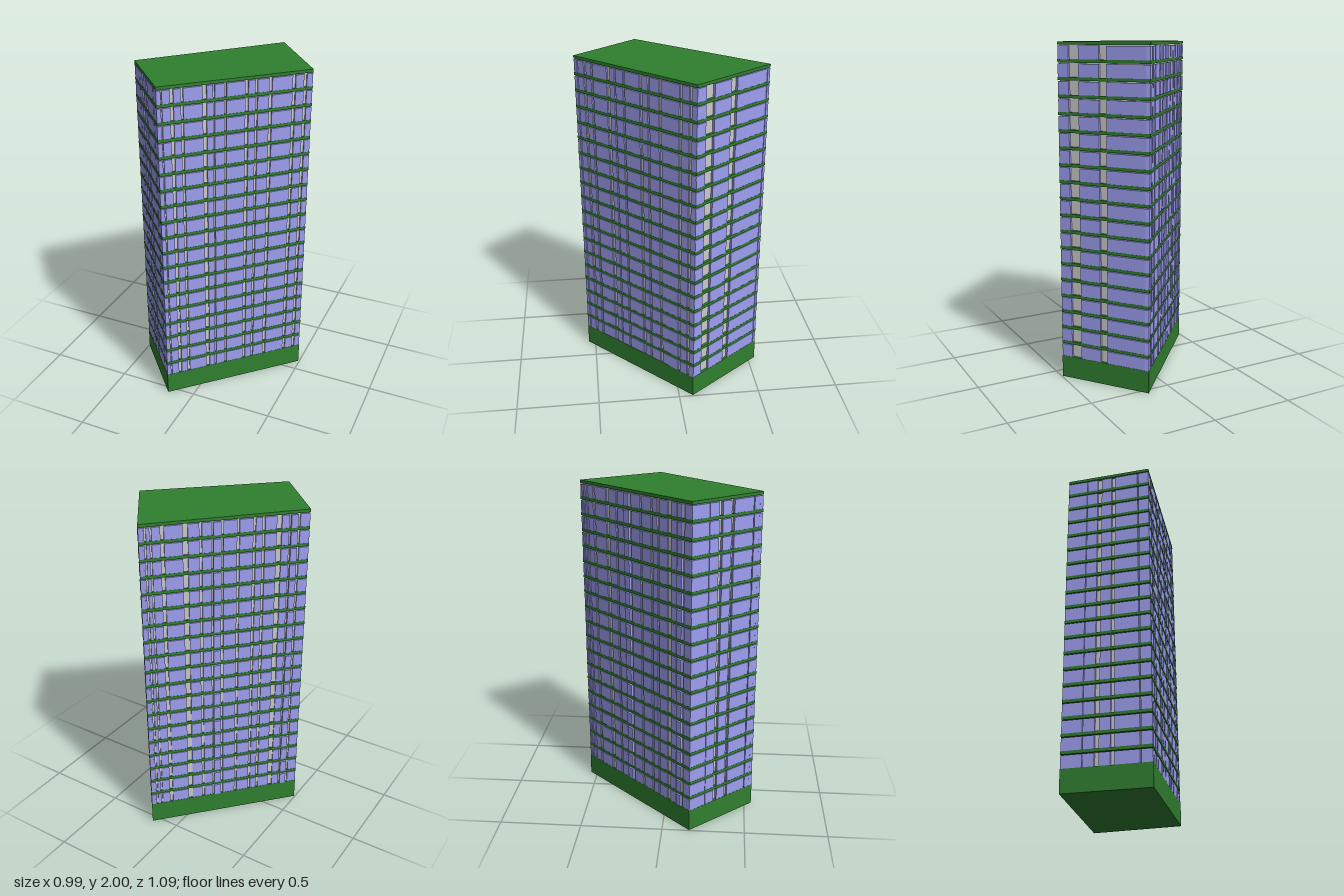
import * as THREE from 'three';
import { mergeGeometries } from 'three/addons/utils/BufferGeometryUtils.js';

// Footprint corners [x, z], going round the tower
const CORNERS = [[-0.495, 0.165], [-0.155, 0.545], [0.493, -0.085], [0.153, -0.545]];
const BASE_TOP = 0.135, FLOORS = 19, STEP = 0.0982, SLAB = 0.018;

// Recessed wall strips on each side, as fractions along the side
const SIDES = [
  { name: 'leftEndWindows', gaps: [[0.235, 0.242], [0.37, 0.42], [0.545, 0.585], [0.862, 0.875]] },
  { name: 'frontWindows', gaps: [[0.02, 0.035], [0.085, 0.105], [0.15, 0.165], [0.285, 0.31], [0.35, 0.36], [0.42, 0.435],
    [0.555, 0.575], [0.62, 0.635], [0.71, 0.73], [0.865, 0.885], [0.94, 0.96]] },
  { name: 'rightEndWindows', gaps: [[0.12, 0.23], [0.455, 0.535]] },
  { name: 'backWindows', gaps: [[0.035, 0.045], [0.065, 0.075], [0.125, 0.145], [0.25, 0.28], [0.345, 0.36], [0.415, 0.425], [0.47, 0.485],
    [0.565, 0.58], [0.66, 0.675], [0.715, 0.73], [0.80, 0.83], [0.875, 0.885], [0.925, 0.94]], bays: [0.45, 0.9] },
];

// Prism with the tower's footprint
function prism(y0, y1, scale = 1) {
  const shape = new THREE.Shape(CORNERS.map(([x, z]) => new THREE.Vector2(x * scale, -z * scale)));
  return new THREE.ExtrudeGeometry(shape, { depth: y1 - y0, bevelEnabled: false })
    .rotateX(-Math.PI / 2).translate(0, y0, 0);
}

// Panes of one side, all floors merged
function sideWindows({ gaps, bays = [] }, i) {
  const [ax, az] = CORNERS[i], [bx, bz] = CORNERS[(i + 1) % 4];
  const length = Math.hypot(bx - ax, bz - az);
  const angle = Math.atan2(az - bz, bx - ax);
  const edges = [0.002, ...gaps.flat(), 0.998];
  const panes = [];
  for (let f = 0; f < FLOORS; f++) {
    const bottom = f === 0 ? BASE_TOP : 2 - (FLOORS - f) * STEP;
    const top = 2 - (FLOORS - 1 - f) * STEP - SLAB - 0.005;
    for (let k = 0; k < edges.length; k += 2) {
      const t0 = edges[k], t1 = edges[k + 1];
      // A few panes stand slightly proud of the facade
      const proud = bays.some((t) => t > t0 && t < t1) ? 0.006 : -0.001;
      panes.push(new THREE.BoxGeometry((t1 - t0) * length, top - bottom, 0.024)
        .translate((t0 + t1) / 2 * length, (top + bottom) / 2, proud - 0.012));
    }
  }
  return mergeGeometries(panes).rotateY(angle).translate(ax, 0, az);
}

export function createModel() {
  const tower = new THREE.Group();
  tower.name = 'tower';
  const green = new THREE.MeshStandardMaterial({ color: 0x308030 });
  const blue = new THREE.MeshStandardMaterial({ color: 0x9f9ff2 });
  const grey = new THREE.MeshStandardMaterial({ color: 0xcccccc });
  const add = (name, geometry, material) => {
    const mesh = new THREE.Mesh(geometry, material);
    mesh.name = name;
    tower.add(mesh);
  };

  // Ground floor plinth and recessed walls
  add('plinth', prism(0, BASE_TOP), green);
  add('walls', prism(BASE_TOP, 2 - SLAB, 0.965), grey);

  // Floor slabs, the last one being the roof
  for (let f = 0; f < FLOORS; f++) {
    const top = 2 - (FLOORS - 1 - f) * STEP;
    add(f === FLOORS - 1 ? 'roof' : 'floorSlab' + (f + 1), prism(top - SLAB, top), green);
  }

  // Window bands on the four sides
  SIDES.forEach((side, i) => add(side.name, sideWindows(side, i), blue));
  return tower;
}
